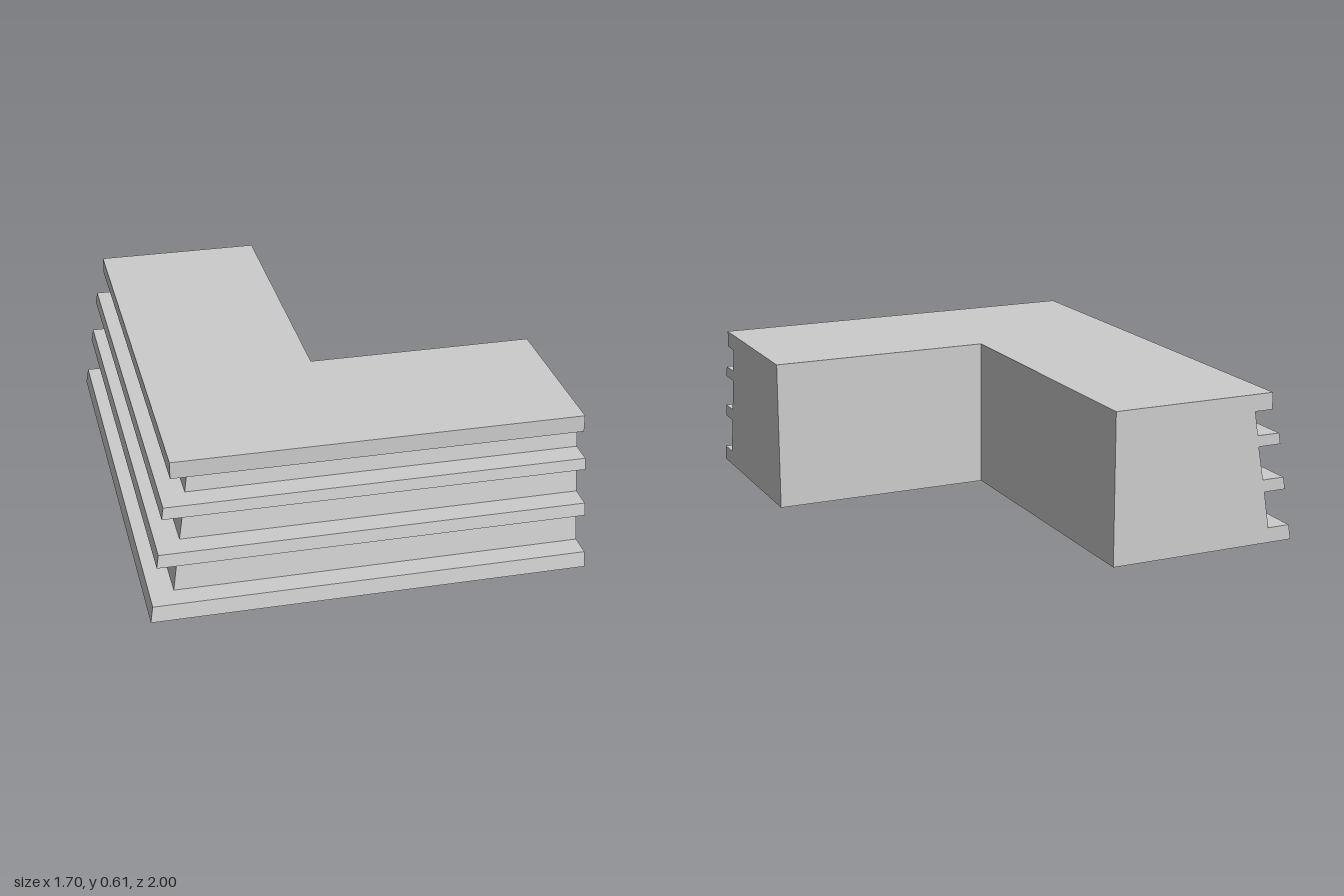
import * as THREE from 'three';

// Moulding cross-section, counter-clockwise: [inset from outer edge, height]
const PROFILE = [
  [0, 0], [0.79, 0], [0.79, 0.609], [0.109, 0.609],
  [0.109, 0.541], [0.186, 0.541], [0.17, 0.443], [0.074, 0.443], // under the top slab
  [0.066, 0.398], [0.164, 0.398], [0.139, 0.261], [0.045, 0.261], // upper fin
  [0.036, 0.211], [0.13, 0.211], [0.105, 0.061], [0.011, 0.061], // lower fin, base lip
];

// Stations along the L: back end, mitred corner, side end
const STATIONS = [
  ([d, y]) => [-0.85 + d, y, -1],
  ([d, y]) => [-0.85 + d, y, 1 - d],
  ([d, y]) => [0.85, y, 1 - d],
];

// Sweeps the cross-section through the stations and closes both ends
function sweep(profile, stations) {
  const rings = stations.map((place) => profile.map(place));
  const positions = [];
  const tri = (a, b, c) => positions.push(...a, ...b, ...c);

  for (let s = 0; s < rings.length - 1; s++) {
    const from = rings[s], to = rings[s + 1];
    for (let i = 0; i < profile.length; i++) {
      const j = (i + 1) % profile.length;
      tri(from[i], from[j], to[j]);
      tri(from[i], to[j], to[i]);
    }
  }

  const outline = profile.map(([d, y]) => new THREE.Vector2(d, y));
  const first = rings[0], last = rings[rings.length - 1];
  for (const [a, b, c] of THREE.ShapeUtils.triangulateShape(outline, [])) {
    tri(first[c], first[b], first[a]);
    tri(last[a], last[b], last[c]);
  }

  const geometry = new THREE.BufferGeometry();
  geometry.setAttribute('position', new THREE.Float32BufferAttribute(positions, 3));
  geometry.computeVertexNormals();
  return geometry;
}

export function createModel() {
  const group = new THREE.Group();
  group.name = 'cornerBlock';
  const material = new THREE.MeshStandardMaterial({ color: 0xcccccc, flatShading: true });

  // L-shaped block with stepped fins on its two outer sides
  const block = new THREE.Mesh(sweep(PROFILE, STATIONS), material);
  block.name = 'finnedCornerWall';
  group.add(block);
  return group;
}
